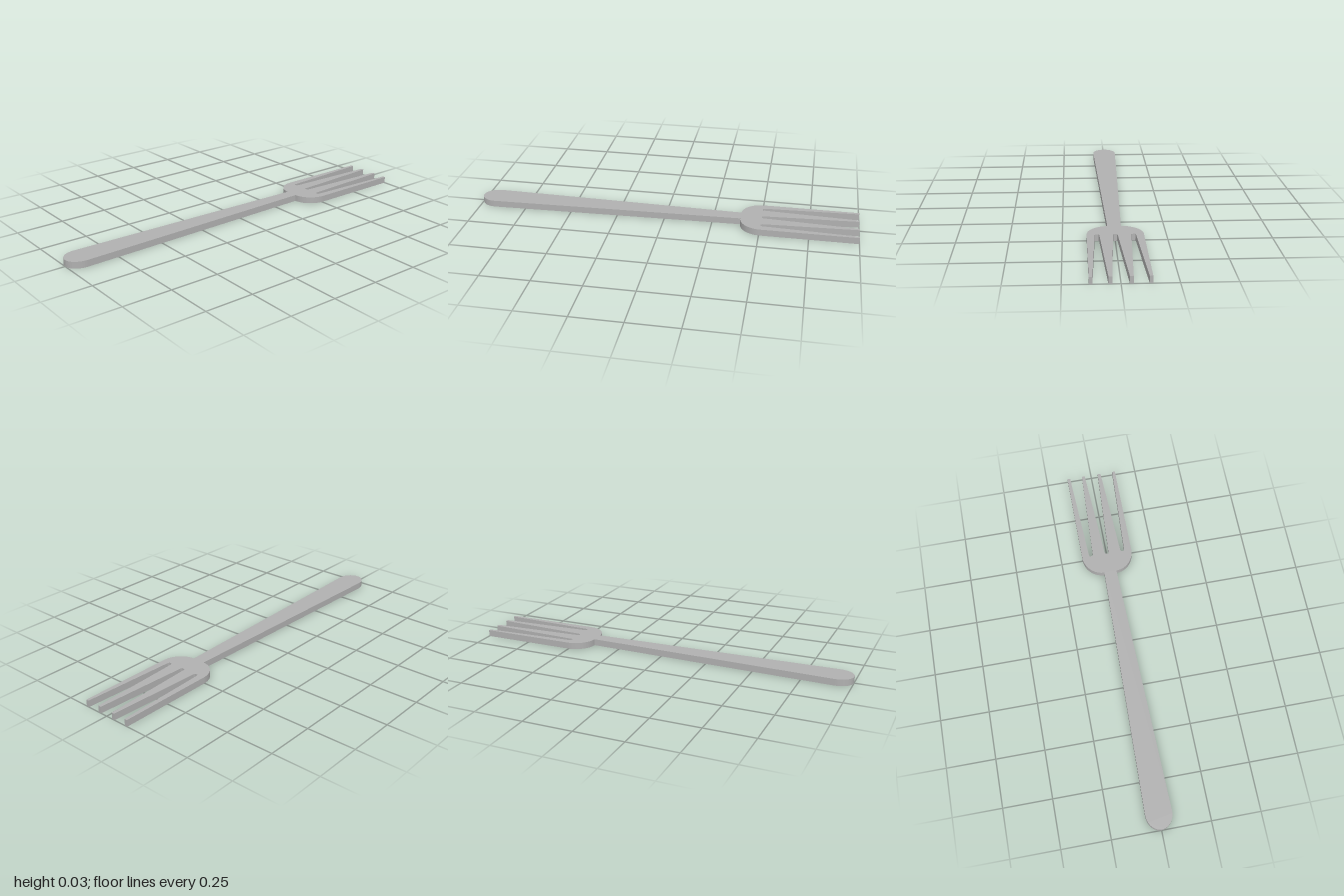
import * as THREE from 'three';

const THICKNESS = 0.034;

// Extrude a flat outline upwards from the ground
function plate(name, shape, material) {
  const geometry = new THREE.ExtrudeGeometry(shape, { depth: THICKNESS, bevelEnabled: false, curveSegments: 10 });
  geometry.rotateX(-Math.PI / 2);
  const mesh = new THREE.Mesh(geometry, material);
  mesh.name = name;
  return mesh;
}

export function createModel() {
  const metal = new THREE.MeshStandardMaterial({ color: 0xb0b0b0 });
  metal.name = 'grey metal';
  const joint = 0.396;

  // Tapered handle with a rounded end
  const handle = new THREE.Shape();
  handle.moveTo(joint, 0.033);
  handle.lineTo(-0.92, 0.067);
  handle.absellipse(-0.92, 0, 0.08, 0.067, Math.PI / 2, Math.PI * 1.5, false);
  handle.lineTo(joint, -0.033);
  handle.closePath();

  // Head with rounded shoulders and four tapering tines
  const head = new THREE.Shape();
  const shoulder = 0.505, half = 0.135, ry = 0.105;
  head.moveTo(1, half);
  head.lineTo(shoulder, half);
  head.absellipse(shoulder, half - ry, shoulder - joint, ry, Math.PI / 2, Math.PI, false);
  head.lineTo(joint, ry - half);
  head.absellipse(shoulder, ry - half, shoulder - joint, ry, Math.PI, Math.PI * 1.5, false);
  head.lineTo(1, -half);
  // Slots between the tines, wide at the tips and narrow at the root
  for (const centre of [-0.0865, 0, 0.0865]) {
    const mouth = centre === 0 ? 0.037 : 0.0335;
    head.lineTo(1, centre - mouth);
    head.lineTo(0.515, centre - 0.011);
    head.lineTo(0.505, centre - 0.008);
    head.lineTo(0.505, centre + 0.008);
    head.lineTo(0.515, centre + 0.011);
    head.lineTo(1, centre + mouth);
  }
  head.closePath();

  const fork = new THREE.Group();
  fork.name = 'fork';
  fork.add(plate('handle', handle, metal), plate('tinedHead', head, metal));
  return fork;
}
